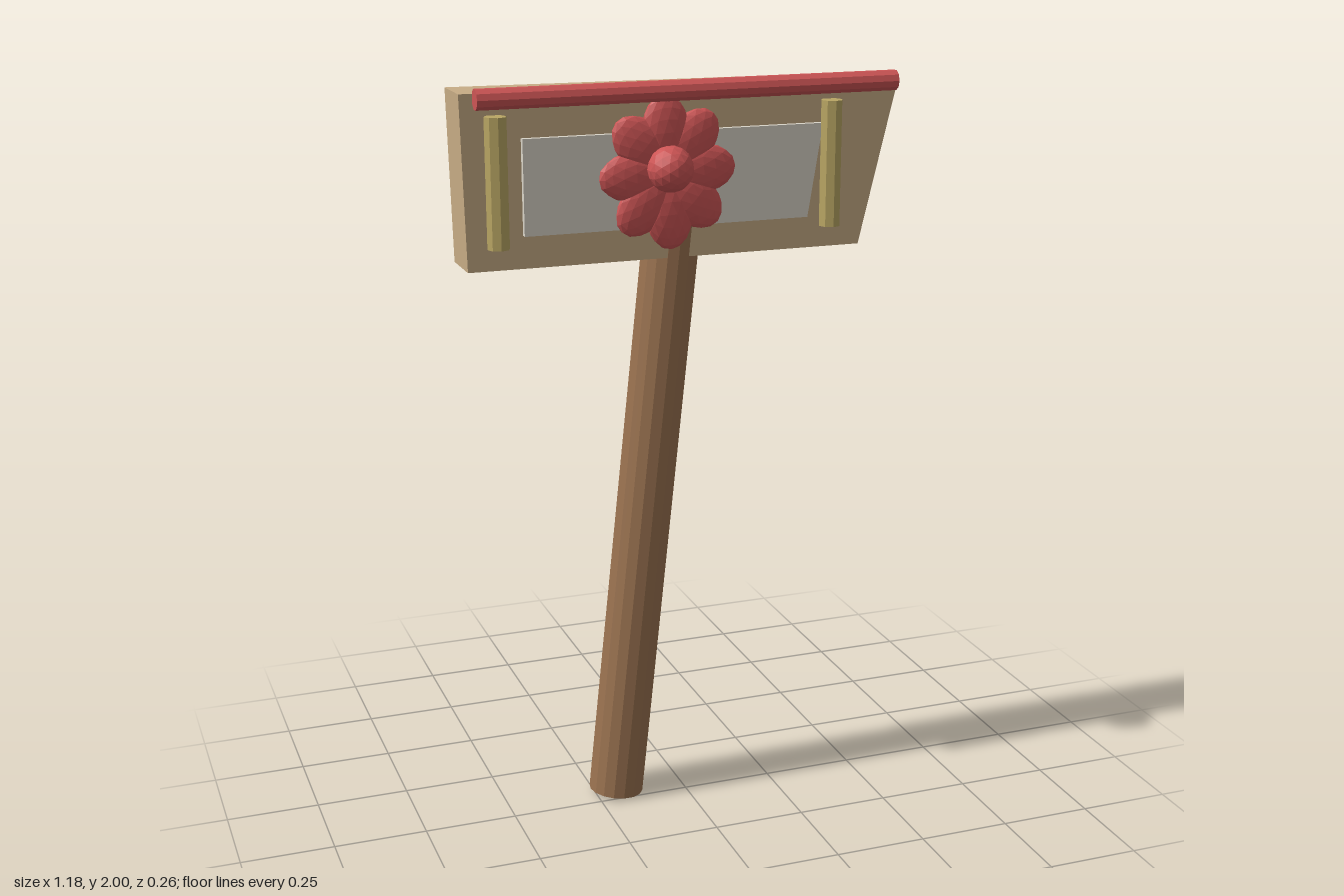
import * as THREE from 'three';

const mat = (color) => new THREE.MeshStandardMaterial({ color, flatShading: true });

export function createModel() {
  const model = new THREE.Group();
  const wood = mat(0xc8ad86), bark = mat(0x9a7250), red = mat(0xcd5555);
  const brass = mat(0xb9a664), pale = mat(0xd9d4c8);

  const add = (name, geometry, material, x = 0, y = 0, z = 0, parent = model) => {
    const mesh = new THREE.Mesh(geometry, material);
    mesh.name = name;
    mesh.position.set(x, y, z);
    parent.add(mesh);
    return mesh;
  };

  // Flat plate with the given outline, from z = back to z = front
  const plate = (name, points, back, front, material) => {
    const shape = new THREE.Shape(points.map(([x, y]) => new THREE.Vector2(x, y)));
    const geometry = new THREE.ExtrudeGeometry(shape, { depth: front - back, bevelEnabled: false });
    return add(name, geometry, material, 0, 0, back);
  };

  // Sign board with a slanted end, and its raised panel
  plate('board', [[-0.585, 1.54], [0.485, 1.54], [0.59, 1.975], [-0.595, 1.985]], -0.127, 0.014, wood);
  plate('panel', [[-0.44, 1.625], [0.33, 1.625], [0.37, 1.87], [-0.44, 1.87]], 0, 0.03, pale);

  // Leaning post, just breaking through both faces of the board
  const lean = 0.107, length = 1.91;
  const post = add('post', new THREE.CylinderGeometry(0.075, 0.075, length, 16), bark,
    -0.19 + Math.sin(lean) * length / 2, 0.009 + Math.cos(lean) * length / 2, -0.055);
  post.rotation.z = -lean;

  // Red rail along the top edge
  const rail = add('topRail', new THREE.CylinderGeometry(0.027, 0.027, 1.13, 10), red, 0.005, 1.973, 0.036);
  rail.rotation.z = Math.PI / 2;

  // Upright rods at both ends of the panel
  for (const [name, x] of [['rightRod', -0.51], ['leftRod', 0.39]]) {
    add(name, new THREE.CylinderGeometry(0.029, 0.029, 0.33, 8), brass, x, 1.765, 0.037);
  }

  // Flower: a ring of flattened petals around a round centre
  const flower = new THREE.Group();
  flower.name = 'flower';
  flower.position.set(-0.06, 1.765, 0.03);
  model.add(flower);
  const petals = 8;
  for (let i = 0; i < petals; i++) {
    const a = (i / petals) * Math.PI * 2 + 0.05;
    const petal = add('petal', new THREE.IcosahedronGeometry(1, 2), red,
      Math.cos(a) * 0.09, Math.sin(a) * 0.105, 0, flower);
    petal.scale.set(0.095, 0.064, 0.027);
    petal.rotation.z = a;
  }
  add('flowerCentre', new THREE.IcosahedronGeometry(0.06, 2), red, -0.005, 0.015, 0.038, flower);

  return model;
}
